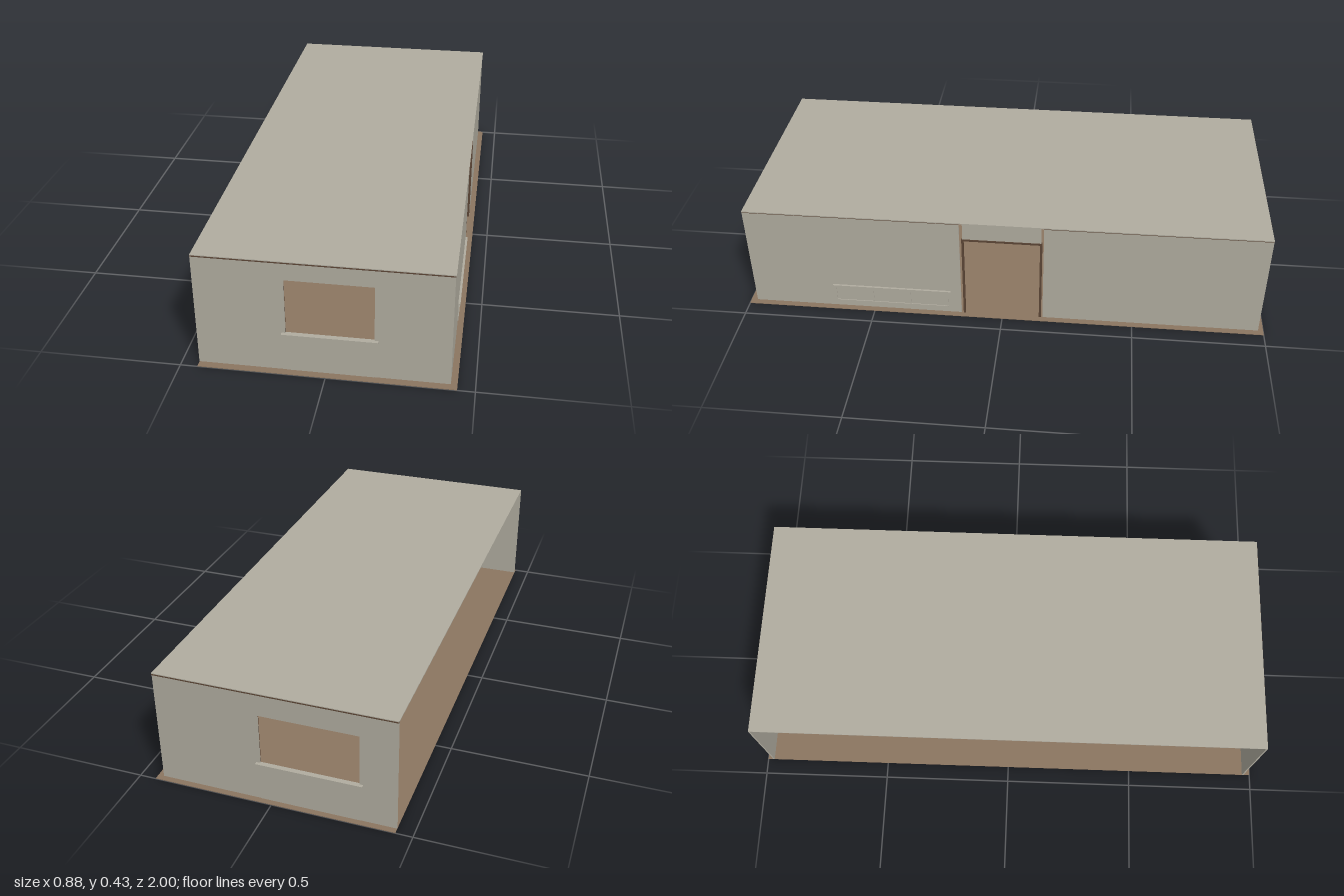
import * as THREE from 'three';

const material = (color) => new THREE.MeshStandardMaterial({ color, flatShading: true });
const wallMat = material(0xb0ac9f);
const floorMat = material(0x8b7560);
const trimMat = material(0x5c4636);

// Box given by its minimum and maximum corners
function block(parent, name, mat, [x0, y0, z0], [x1, y1, z1]) {
  const mesh = new THREE.Mesh(new THREE.BoxGeometry(x1 - x0, y1 - y0, z1 - z0), mat);
  mesh.position.set((x0 + x1) / 2, (y0 + y1) / 2, (z0 + z1) / 2);
  mesh.name = name;
  parent.add(mesh);
}

const LEFT = -0.44, RIGHT = 0.418, BASE = 0.003, TOP = 0.425, T = 0.006;

// End wall of four panels around a window, with sill, brackets and inner casing
function endWall(name, zOuter, out, w) {
  const wall = new THREE.Group();
  wall.name = name;
  const slab = (part, mat, x0, y0, x1, y1, a, b) => {
    const za = zOuter + out * a, zb = zOuter + out * b;
    block(wall, part, mat, [x0, y0, Math.min(za, zb)], [x1, y1, Math.max(za, zb)]);
  };
  slab('sidePanel', wallMat, LEFT, BASE, w.x0, TOP, -T, 0);
  slab('sidePanel', wallMat, w.x1, BASE, RIGHT, TOP, -T, 0);
  slab('panelBelowWindow', wallMat, w.x0, 0.001, w.x1, w.y0, -T, 0);
  slab('lintelPanel', wallMat, w.x0, w.y1, w.x1, TOP, -T, 0);
  slab('topTrim', trimMat, LEFT, TOP, RIGHT, 0.429, -T, 0.001);
  // sill
  slab('windowSill', wallMat, w.x0 - 0.013, w.y0 - 0.002, w.x1 + 0.013, w.y0 + 0.004, -T, 0.012);
  for (let i = 0; i < 6; i++) {
    const x = w.x0 + (w.x1 - w.x0) * (i + 0.5) / 6;
    slab('sillBracket', wallMat, x - 0.002, w.y0 - 0.006, x + 0.002, w.y0 - 0.002, 0, 0.008);
  }
  // casing on the inner face
  const c = 0.01;
  slab('windowCasing', trimMat, w.x0 - c, w.y0, w.x0, w.y1 + c, -T - 0.003, -T);
  slab('windowCasing', trimMat, w.x1, w.y0, w.x1 + c, w.y1 + c, -T - 0.003, -T);
  slab('windowCasing', trimMat, w.x0, w.y1, w.x1, w.y1 + c, -T - 0.003, -T);
  return wall;
}

export function createModel() {
  const house = new THREE.Group();
  house.name = 'house';

  block(house, 'floor', floorMat, [-0.44, 0, -1], [0.44, 0.002, 1]);
  block(house, 'roof', wallMat, [LEFT, 0.428, -0.98], [0.42, 0.432, 0.975]);

  house.add(endWall('frontWall', 0.975, 1, { x0: -0.135, x1: 0.163, y0: 0.15, y1: 0.362 }));
  house.add(endWall('backWall', -0.98, -1, { x0: -0.31, x1: 0.042, y0: 0.15, y1: 0.345 }));

  // Long wall in two halves beside the doorway; the opposite side is open
  const xi = RIGHT - T;
  const halves = [[0.16, 0.975], [-0.98, -0.155]];
  for (const [z0, z1] of halves) {
    block(house, 'sideWall', wallMat, [xi, BASE, z0], [RIGHT, TOP, z1]);
    block(house, 'sideTopTrim', trimMat, [xi, TOP, z0], [RIGHT + 0.001, 0.429, z1]);
  }

  // Doorway
  const door = new THREE.Group();
  door.name = 'doorway';
  for (const z of [-0.145, 0.148]) {
    block(door, 'doorJamb', trimMat, [xi - 0.004, 0.002, z - 0.004], [RIGHT, 0.358, z + 0.004]);
  }
  block(door, 'doorHead', trimMat, [xi - 0.004, 0.35, -0.145], [RIGHT, 0.358, 0.148]);
  block(door, 'transomPanel', wallMat, [xi - 0.002, 0.358, -0.145], [RIGHT - 0.002, 0.428, 0.148]);
  house.add(door);

  // Low rail on the long wall
  const rail = new THREE.Group();
  rail.name = 'wallRail';
  block(rail, 'topRail', wallMat, [RIGHT, 0.1, 0.2], [0.426, 0.106, 0.66]);
  block(rail, 'bottomRail', wallMat, [RIGHT, 0.028, 0.21], [0.421, 0.032, 0.652]);
  for (let i = 0; i < 4; i++) {
    const z = 0.213 + i * 0.1457;
    block(rail, 'railPost', wallMat, [RIGHT, 0.03, z - 0.002], [0.421, 0.1, z + 0.002]);
  }
  house.add(rail);

  return house;
}
